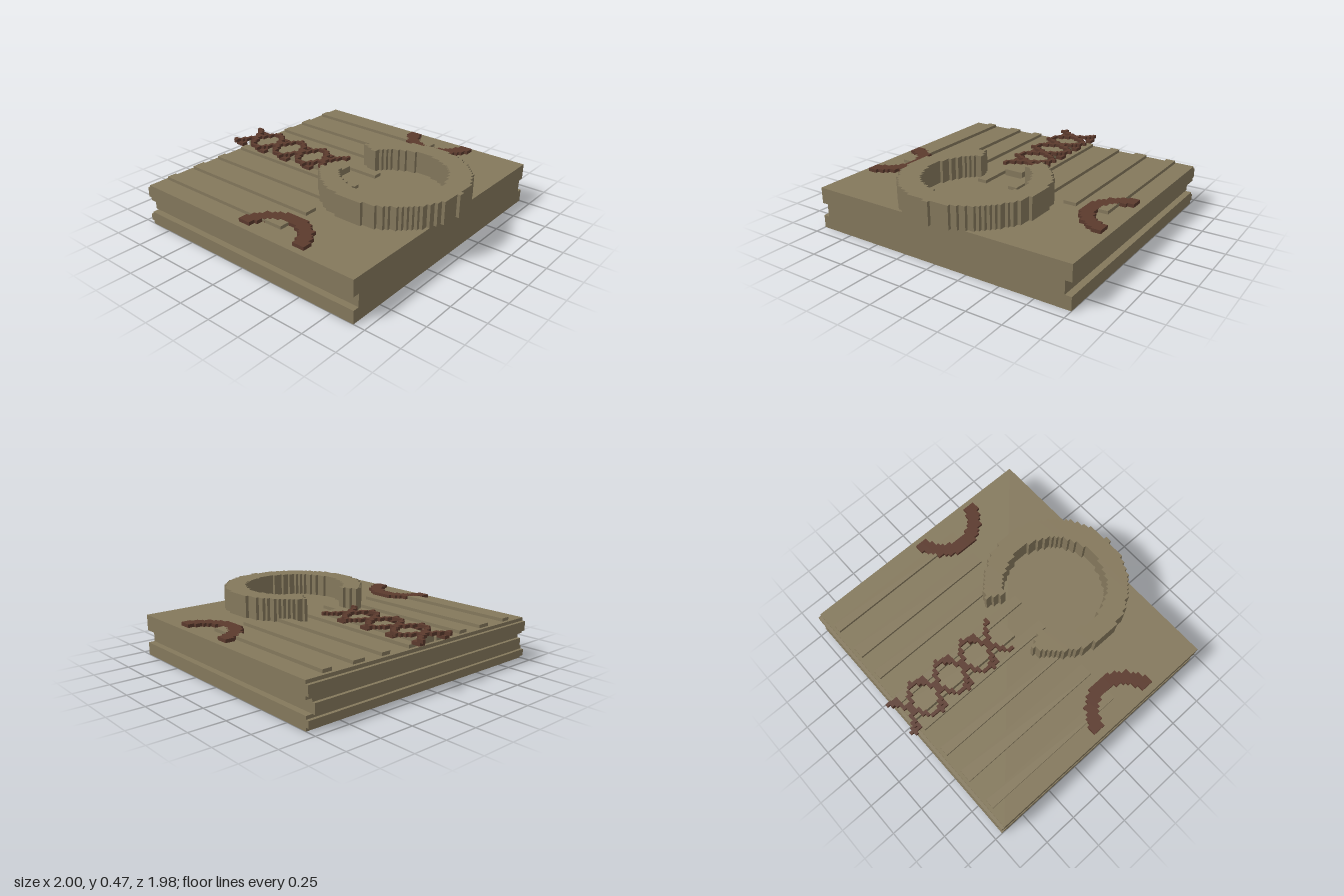
import * as THREE from 'three';
import { mergeGeometries } from 'three/addons/utils/BufferGeometryUtils.js';

const U = 2 / 86; // one block of the grid

// Box given by its limits in blocks
function block(x0, x1, y0, y1, z0, z1) {
  const g = new THREE.BoxGeometry((x1 - x0) * U, (y1 - y0) * U, (z1 - z0) * U);
  return g.translate((x0 + x1) / 2 * U, (y0 + y1) / 2 * U, (z0 + z1) / 2 * U);
}

// Fills a plan rule with one box per run of blocks, row by row
function fillPlan(inside, xMin, xMax, zMin, zMax, y0, y1) {
  const boxes = [];
  for (let z = zMin; z < zMax; z++) {
    let start = null;
    for (let x = xMin; x <= xMax; x++) {
      const solid = x < xMax && inside(x + 0.5, z + 0.5);
      if (solid && start === null) start = x;
      if (!solid && start !== null) {
        boxes.push(block(start, x, y0, y1, z, z + 1));
        start = null;
      }
    }
  }
  return mergeGeometries(boxes);
}

export function createModel() {
  const group = new THREE.Group();
  const olive = new THREE.MeshStandardMaterial({ color: 0x84785c });
  olive.name = 'olive';
  const brown = new THREE.MeshStandardMaterial({ color: 0x5b3a2d });
  brown.name = 'brown';
  const add = (name, geometry, material) => {
    const mesh = new THREE.Mesh(geometry, material);
    mesh.name = name;
    group.add(mesh);
  };

  // Slab with a groove along each side
  const half = [[43, 0], [43, 4], [41, 4], [41, 8], [43, 8], [43, 13]];
  const outline = [...half, ...half.map(([x, y]) => [-x, y]).reverse()];
  const shape = new THREE.Shape(outline.map(([x, y]) => new THREE.Vector2(x * U, y * U)));
  const slab = new THREE.ExtrudeGeometry(shape, { depth: 79 * U, bevelEnabled: false });
  add('slab', slab.translate(0, 0, -39.5 * U), olive);

  // Ridges across the back
  for (const [y0, y1, x] of [[1, 3, 43], [4, 7, 41], [9, 12, 43]]) {
    add('backRidge', block(-x, x, y0, y1, -40.5, -39.5), olive);
  }

  // Raised slats on top, mirrored, and the taller centre slat
  for (const [a, b] of [[4, 7], [14, 17], [23, 27], [34, 37]]) {
    add('leftSlat', block(a, b, 13, 14, -38.5, 9.5), olive);
    add('rightSlat', block(-b, -a, 13, 14, -38.5, 9.5), olive);
  }
  add('centreSlat', block(-3, 3, 13, 15, -38.5, 0.5), olive);

  // Stepped open collar
  const inCollar = (x, z) =>
    x * x + (z - 20) ** 2 < 485 &&
    x * x + (z - 19.5) ** 2 > 248 &&
    (z > 5.5 || Math.abs(x) > 8 + (5 - z) * 0.5);
  add('collar', fillPlan(inCollar, -23, 23, 0.5, 42.5, 13, 20), olive);

  // Stepped half rings at the sides
  for (const s of [1, -1]) {
    const inArc = (x, z) => {
      const d = Math.hypot(x * s - 42, z - 9.5);
      return d < 12.1 && d > 8 && x * s < 41;
    };
    add(s > 0 ? 'leftHalfRing' : 'rightHalfRing',
      fillPlan(inArc, -43, 43, -2.5, 21.5, 13, 14.05), brown);
  }

  // Crossed laces: x limits of each strand over a repeat of ten rows
  const rightLace = [[-6, -5], [-7, -5], [-5, -3], [-4, -1], [-2, 1],
    [-2, 1], [-4, -1], [-5, -3], [-6, -5], [-6, -5]];
  const leftLace = [[5, 6], [4, 6], [3, 5], [1, 4], [-1, 2],
    [-1, 2], [1, 4], [3, 5], [5, 6], [5, 7]];
  for (const [name, rows] of [['rightLace', rightLace], ['leftLace', leftLace]]) {
    const boxes = [];
    for (let i = 0; i < 40; i++) {
      const [a, b] = rows[i % 10];
      boxes.push(block(a, b, 15, 16, -42.5 + i, -41.5 + i));
    }
    add(name, mergeGeometries(boxes), brown);
  }

  // Small feet below the laces
  for (let n = 0; n < 4; n++) {
    const z = -41.5 + n * 10;
    add('leftLaceFoot', block(4, 6, 14, 15, z, z + 3), brown);
    add('rightLaceFoot', block(-6, -4, 14, 15, z, z + 3), brown);
  }

  return group;
}
